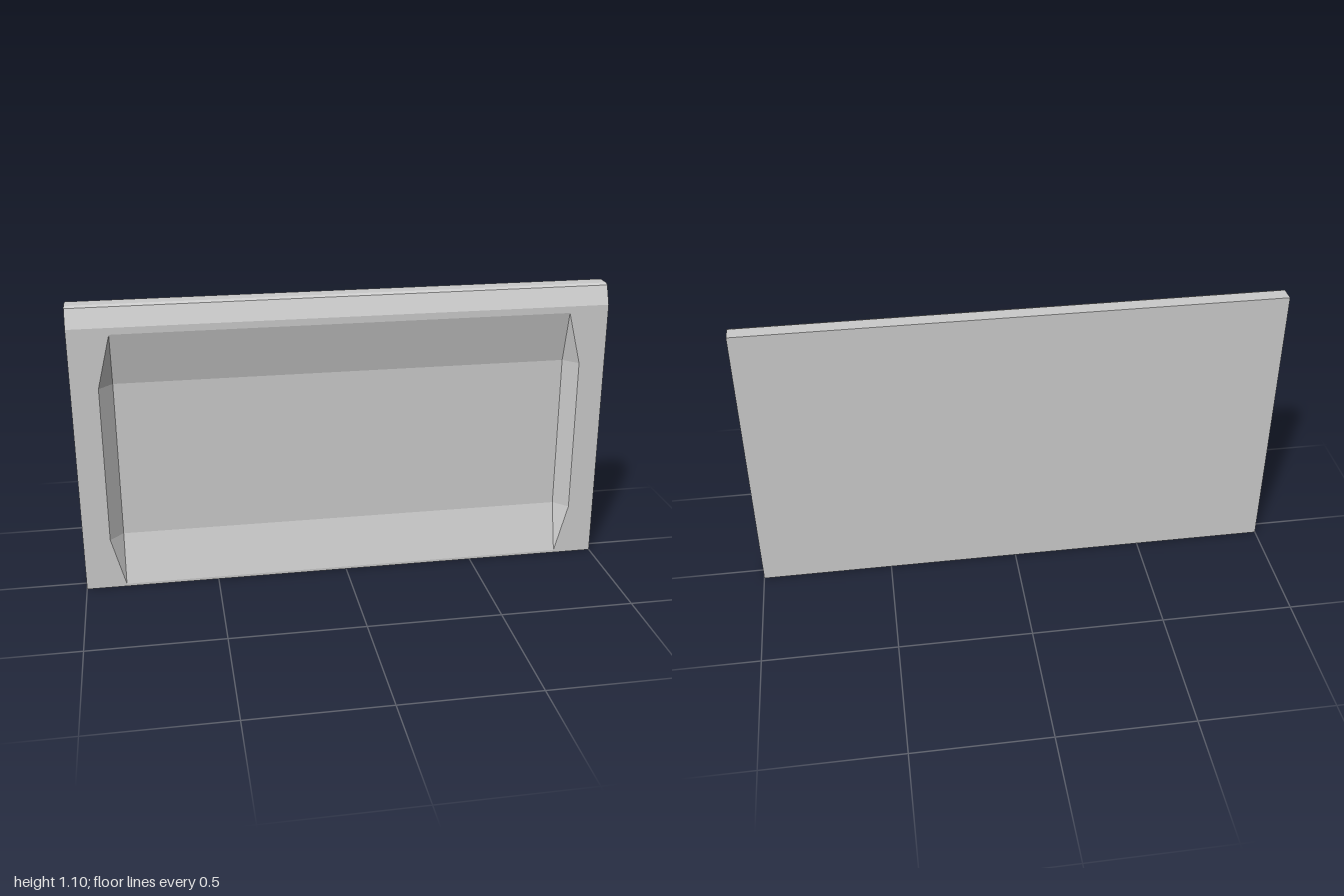
import * as THREE from 'three';

const FRONT = 0.05, BACK = -0.05, FLOOR = 0;

// Flat-faced geometry from convex polygons, corners counter-clockwise from outside
function facets(polygons) {
  const pos = [];
  for (const p of polygons)
    for (let i = 1; i < p.length - 1; i++) pos.push(...p[0], ...p[i], ...p[i + 1]);
  const g = new THREE.BufferGeometry();
  g.setAttribute('position', new THREE.Float32BufferAttribute(pos, 3));
  g.computeVertexNormals();
  return g;
}

export function createModel() {
  const group = new THREE.Group();
  const material = new THREE.MeshStandardMaterial({ color: 0xcccccc, flatShading: true });
  const add = (name, geometry) => {
    const mesh = new THREE.Mesh(geometry, material);
    mesh.name = name;
    group.add(mesh);
  };

  // Side profile [z, y] with a bevelled top front edge
  const profile = [[FRONT, 0], [BACK, 0], [BACK, 1.1], [0.007, 1.1], [0.021, 1.094], [FRONT, 1.025]];
  const end = (x) => profile.map(([z, y]) => [x, y, z]);
  const left = end(1), right = end(-1);

  // Bottom, back, top, bevel and the two ends; the front stays open for the frame
  const shell = [left, [...right].reverse()];
  for (let i = 0; i < profile.length - 1; i++)
    shell.push([left[i], right[i], right[i + 1], left[i + 1]]);
  add('panelShell', facets(shell));

  // Recess outline, counter-clockwise from the front
  const rim = [[-0.85, 0.01], [0.85, 0.01], [0.9, 0.2], [0.9, 0.8],
    [0.85, 1.0], [-0.85, 1.0], [-0.9, 0.8], [-0.9, 0.2]];

  // Flat frame around the recess
  const frame = new THREE.Shape([[-1, 0], [1, 0], [1, 1.025], [-1, 1.025]].map((p) => new THREE.Vector2(...p)));
  frame.holes.push(new THREE.Path(rim.map((p) => new THREE.Vector2(...p))));
  add('frontFrame', new THREE.ShapeGeometry(frame).translate(0, 0, FRONT));

  // Sloping recess walls: each rim corner runs down to the nearest floor corner
  const { clamp } = THREE.MathUtils;
  const upper = rim.map(([x, y]) => [x, y, FRONT]);
  const lower = rim.map(([x, y]) => [clamp(x, -0.85, 0.85), clamp(y, 0.2, 0.8), FLOOR]);
  const walls = rim.map((_, i) => {
    const j = (i + 1) % rim.length;
    const corner = i % 2 === 1; // corner facets are triangles
    return corner ? [upper[i], upper[j], lower[j]] : [upper[i], upper[j], lower[j], lower[i]];
  });
  add('recessWalls', facets(walls));

  // Recess floor
  add('recessFloor', new THREE.PlaneGeometry(1.7, 0.6).translate(0, 0.5, FLOOR));

  return group;
}
